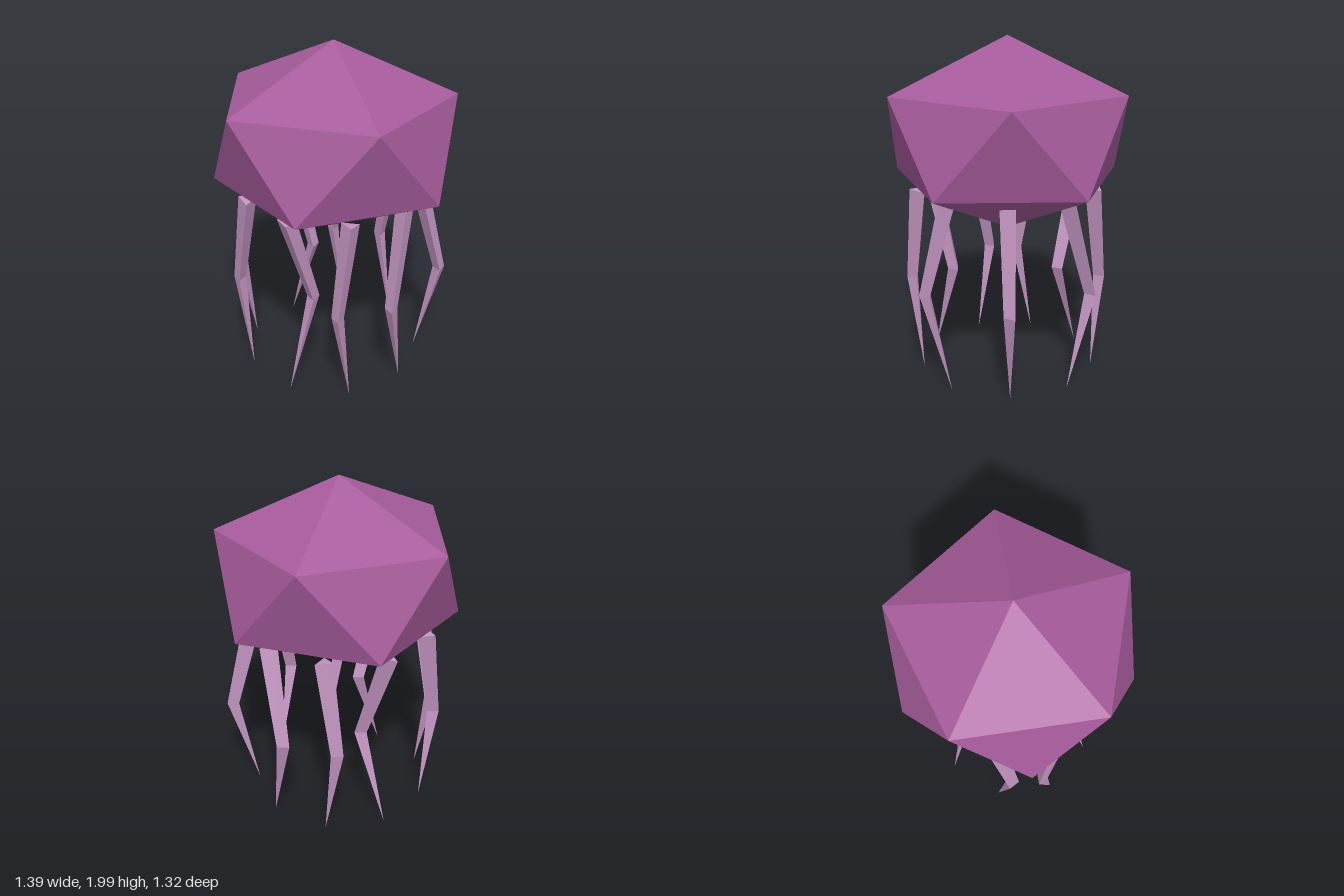
import * as THREE from 'three';

const bellPurple = new THREE.MeshStandardMaterial({ color: 0xa65b9b, flatShading: true });
bellPurple.name = 'bellPurple';
const tentacleLilac = new THREE.MeshStandardMaterial({ color: 0xc294c0, flatShading: true });
tentacleLilac.name = 'tentacleLilac';

const UP = new THREE.Vector3(0, 1, 0);
const SIDES = 3;

// Triangular ring of points around a centre, tilted to face along dir
function ring(center, radius, dir) {
  const tilt = new THREE.Quaternion().setFromUnitVectors(UP, dir);
  return Array.from({ length: SIDES }, (_, i) => {
    const a = (i / SIDES) * Math.PI * 2;
    return new THREE.Vector3(Math.sin(a) * radius, 0, Math.cos(a) * radius)
      .applyQuaternion(tilt).add(center);
  });
}

// Bent three-sided tentacle: capped top, level knee, pointed tip
function tentacleGeometry(top, knee, tip) {
  const upper = ring(top, 0.058, top.clone().sub(knee).normalize());
  const middle = ring(knee, 0.041, UP);
  const points = [upper[0], upper[1], upper[2]];
  for (let i = 0; i < SIDES; i++) {
    const j = (i + 1) % SIDES;
    points.push(middle[i], middle[j], upper[j], middle[i], upper[j], upper[i]);
    points.push(tip, middle[j], middle[i]);
  }
  const geometry = new THREE.BufferGeometry().setFromPoints(points);
  geometry.computeVertexNormals();
  return geometry;
}

export function createModel() {
  const model = new THREE.Group();
  model.name = 'jellyfish';

  // Bell: squashed icosahedron standing on a vertex
  const bellGeometry = new THREE.IcosahedronGeometry(0.775, 0);
  bellGeometry.rotateX(-Math.atan((1 + Math.sqrt(5)) / 2));
  bellGeometry.rotateY(Math.PI / 2);
  bellGeometry.scale(1, 0.725, 1);
  bellGeometry.computeVertexNormals();
  const bell = new THREE.Mesh(bellGeometry, bellPurple);
  bell.name = 'bell';
  bell.position.y = 1.438;
  model.add(bell);

  // Nine tentacles in a circle; knees (x, z) mirror across z
  const knees = [[0.645, 0], [0.315, 0.47], [0.01, 0.56], [-0.125, 0.32], [-0.565, 0.09]];
  const tentacles = new THREE.Group();
  tentacles.name = 'tentacles';
  for (let k = -4; k <= 4; k++) {
    const angle = (k / 9) * Math.PI * 2;
    const x = Math.cos(angle) * 0.515 - 0.01;
    const z = Math.sin(angle) * 0.515;
    const [kneeX, kneeZ] = knees[Math.abs(k)];
    const tentacle = new THREE.Mesh(tentacleGeometry(
      new THREE.Vector3(x, 1.13, z),
      new THREE.Vector3(kneeX, 0.57, Math.sign(k) * kneeZ),
      new THREE.Vector3(x, 0.01, z)
    ), tentacleLilac);
    tentacle.name = `tentacle${k + 5}`;
    tentacles.add(tentacle);
  }
  model.add(tentacles);
  return model;
}
